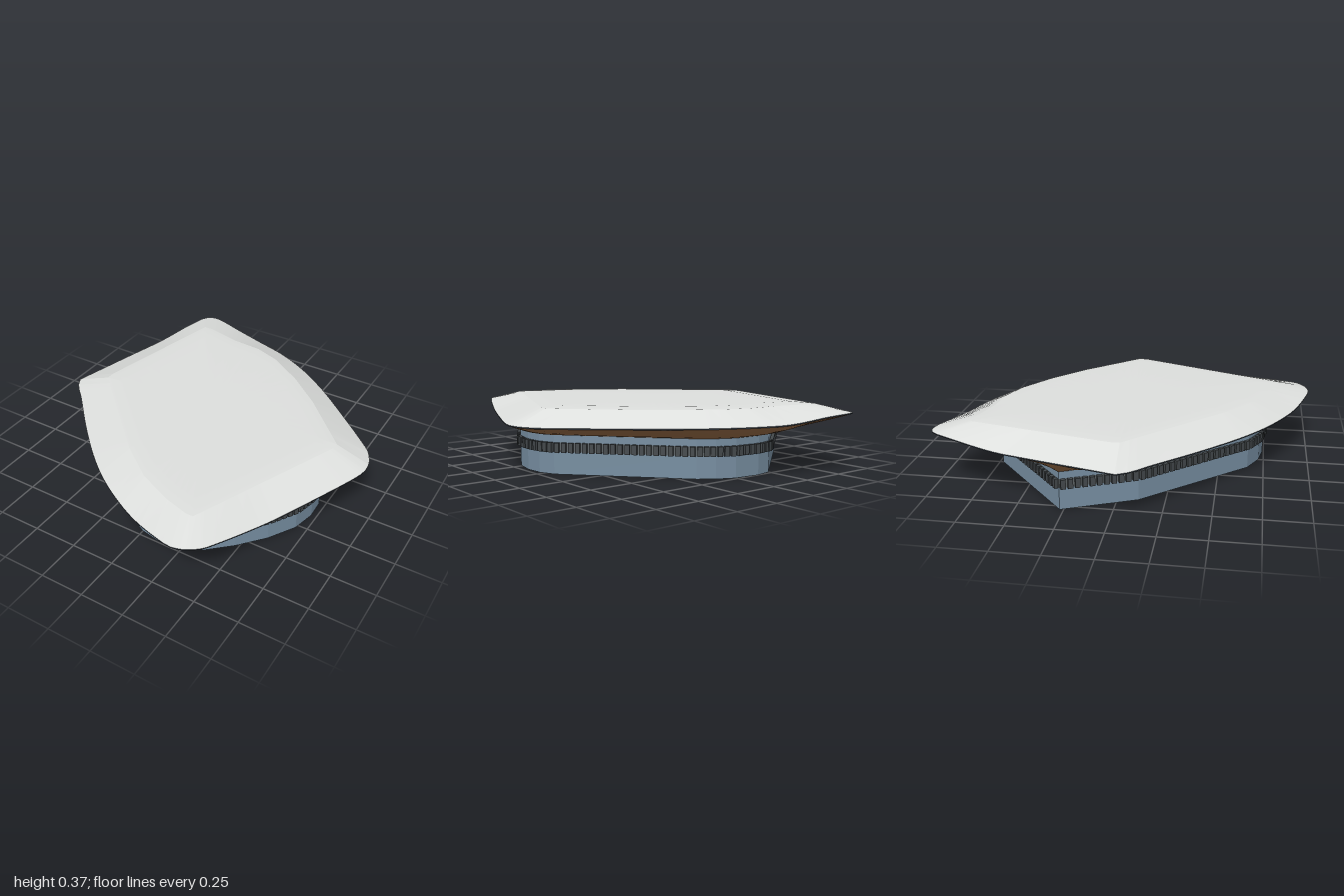
import * as THREE from 'three';

// Plan outlines as [x, z], clockwise seen from above
const EAVES = [
  [-0.655, -0.94], [-0.615, -0.99], [-0.56, -1], [-0.4, -0.968], [-0.2, -0.93], [0, -0.87], [0.2, -0.77],
  [0.4, -0.63], [0.6, -0.46], [0.8, -0.28], [0.88, -0.2], [0.92, -0.12], [0.93, -0.05], [0.92, 0.01],
  [0.8, 0.31], [0.66, 0.63], [0.56, 0.85], [0.51, 0.935], [0.44, 0.985], [0.37, 1], [0.3, 0.985],
  [0.1, 0.915], [-0.1, 0.815], [-0.25, 0.72], [-0.4, 0.6], [-0.6, 0.41], [-0.8, 0.2], [-0.9, 0.1],
  [-0.93, 0.04], [-0.915, -0.02],
];
const PLATEAU = [
  [-0.54, -0.8], [-0.48, -0.8], [-0.28, -0.75], [-0.1, -0.735], [0.05, -0.68], [0.25, -0.55], [0.45, -0.38],
  [0.74, -0.08], [0.735, -0.03], [0.38, 0.81], [0.34, 0.81], [0.2, 0.77], [0, 0.68], [-0.2, 0.53],
  [-0.72, 0.03], [-0.72, -0.02],
];
const WALL = [
  [-0.79, -0.27], [-0.25, -0.73], [-0.15, -0.75], [0, -0.735], [0.1, -0.69], [0.18, -0.63], [0.68, -0.06],
  [0.715, 0.03], [0.72, 0.14], [0.69, 0.27], [0.6, 0.42], [0.48, 0.56], [0.36, 0.67], [0.24, 0.73],
  [0.12, 0.742], [0, 0.72], [-0.12, 0.66], [-0.62, 0.11],
];

// Distance from the centre to an outline along one angle
function reach(poly, a) {
  const c = Math.cos(a), s = Math.sin(a);
  let best = 0;
  poly.forEach(([x, z], i) => {
    const [x2, z2] = poly[(i + 1) % poly.length];
    const ex = x2 - x, ez = z2 - z, den = c * ez - s * ex;
    if (Math.abs(den) < 1e-9) return;
    const r = (x * ez - z * ex) / den, t = (x * s - z * c) / den;
    if (r > 0 && t > -1e-6 && t < 1 + 1e-6) best = Math.max(best, r);
  });
  return best;
}

// Shared angles: an even fan plus every true corner
function fan(...polys) {
  const list = Array.from({ length: 120 }, (_, i) => -Math.PI + (i / 120) * 2 * Math.PI);
  polys.flat().forEach(([x, z]) => list.push(Math.atan2(z, x)));
  return list.sort((a, b) => a - b).filter((a, i, all) => i === 0 || a - all[i - 1] > 1e-4);
}

const ring = (poly, angles, y, k = 1) => angles.map((a) => {
  const r = reach(poly, a) * k, x = r * Math.cos(a), z = r * Math.sin(a);
  return new THREE.Vector3(x, typeof y === 'function' ? y(x, z) : y, z);
});

// Skin through closed rings
function loft(rings) {
  const n = rings[0].length, index = [];
  for (let j = 0; j < rings.length - 1; j++) {
    for (let i = 0; i < n; i++) {
      const a = j * n + i, b = j * n + (i + 1) % n;
      index.push(a, a + n, b, b, a + n, b + n);
    }
  }
  const g = new THREE.BufferGeometry().setFromPoints(rings.flat());
  g.setIndex(index);
  g.computeVertexNormals();
  return g;
}

export function createModel() {
  const group = new THREE.Group();
  const mat = (name, color, side = THREE.DoubleSide, flatShading = false) =>
    new THREE.MeshStandardMaterial({ name, color, side, flatShading });
  const roofGrey = mat('roofGrey', 0xdddfdd);
  const timber = mat('timberBrown', 0x936843, THREE.FrontSide);
  const wallBlue = mat('wallBlue', 0x768da0, THREE.DoubleSide, true);
  const bandGrey = mat('bandGrey', 0x5c6264, THREE.DoubleSide, true);
  const slatGrey = mat('slatGrey', 0x43484b, THREE.FrontSide);
  const trim = mat('edgeTrim', 0x333b44);
  const add = (name, geometry, material) => {
    const m = new THREE.Mesh(geometry, material);
    m.name = name;
    group.add(m);
  };

  // Smooth eaves line that lifts at the front and back tips
  const curve = new THREE.CatmullRomCurve3(EAVES.map(([x, z]) => new THREE.Vector3(x, 0, z)), true);
  const eaves = curve.getPoints(150).slice(0, -1).map((p) => [p.x, p.z]);
  const tip = (d) => 1 - THREE.MathUtils.smoothstep(d, 0, 0.48);
  const lift = (x, z) => 0.275
    + 0.032 * tip(Math.hypot(x - 0.48, z - 0.95)) + 0.038 * tip(Math.hypot(x + 0.6, z + 0.99));
  const angles = fan(WALL, PLATEAU, EAVES);
  const edge = ring(eaves, angles, lift);
  const edgeTop = edge.map((p) => p.clone().setY(p.y + 0.006));
  const crest = ring(PLATEAU, angles, 0.357);

  // Roof: sloping border and nearly flat top
  add('roofSlope', loft([edgeTop, crest]), roofGrey);
  add('roofTop', loft([crest, ring(PLATEAU, angles, 0.365, 0.85), ring(PLATEAU, angles, 0.365, 0.001)]), roofGrey);
  add('roofEdge', loft([edge, edgeTop]), trim);

  // Curved soffit from the wall head out to the eaves
  const head = ring(WALL, angles, 0.21);
  const soffit = [0, 0.25, 0.5, 0.75, 1].map((t) => head.map((p, i) => {
    const q = p.clone().lerp(edge[i], t);
    q.y = THREE.MathUtils.lerp(p.y, edge[i].y, Math.pow(t, 1.35));
    return q;
  }));
  add('soffit', loft(soffit), timber);

  // Wall with a grey window band
  const level = (y) => WALL.map(([x, z]) => new THREE.Vector3(x, y, z));
  add('lowerWall', loft([level(0), level(0.12)]), wallBlue);
  add('windowBand', loft([level(0.12), level(0.17)]), bandGrey);
  add('upperWall', loft([level(0.17), level(0.212)]), wallBlue);

  // Upright slats around the band
  const slats = new THREE.Group();
  slats.name = 'slats';
  const slat = new THREE.BoxGeometry(0.026, 0.052, 0.02);
  WALL.forEach(([x, z], i) => {
    const [x2, z2] = WALL[(i + 1) % WALL.length];
    const dx = x2 - x, dz = z2 - z, len = Math.hypot(dx, dz);
    const count = Math.max(1, Math.round(len / 0.038));
    for (let k = 0; k < count; k++) {
      const t = (k + 0.5) / count;
      const m = new THREE.Mesh(slat, slatGrey);
      m.name = 'slat';
      m.position.set(x + dx * t + (dz / len) * 0.011, 0.145, z + dz * t - (dx / len) * 0.011);
      m.rotation.y = -Math.atan2(dz, dx);
      slats.add(m);
    }
  });
  group.add(slats);
  return group;
}
